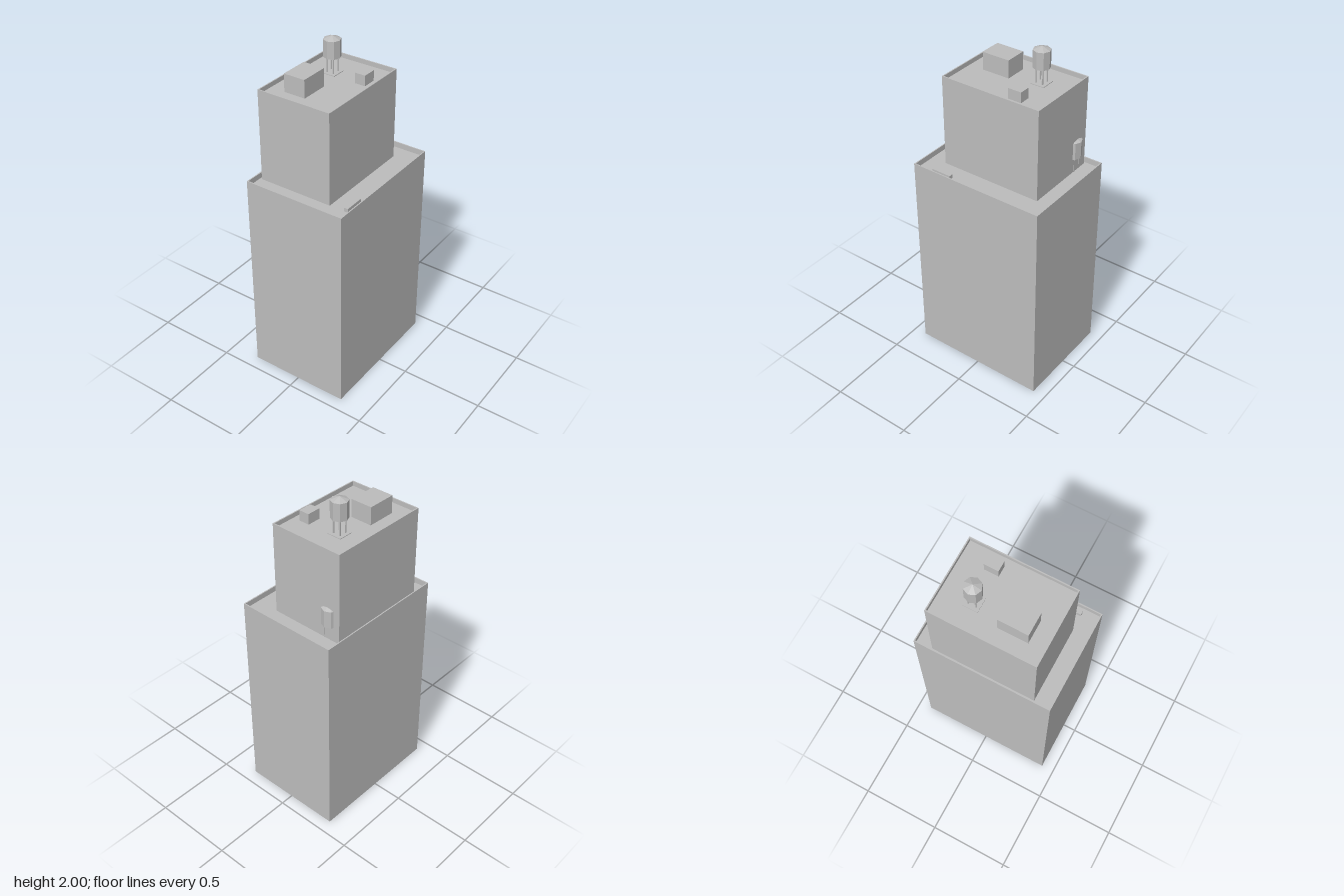
import * as THREE from 'three';

// Open-bottomed rectangular shell through rings of [halfWidth, halfDepth, y], capped by the last ring
function shellGeometry(rings) {
  const pos = [];
  const ring = ([w, d, y]) => [[-w, y, d], [w, y, d], [w, y, -d], [-w, y, -d]];
  const quad = (a, b, c, d) => pos.push(...a, ...b, ...c, ...a, ...c, ...d);
  for (let r = 0; r < rings.length - 1; r++) {
    const lo = ring(rings[r]), hi = ring(rings[r + 1]);
    for (let i = 0; i < 4; i++) {
      const j = (i + 1) % 4;
      quad(lo[i], lo[j], hi[j], hi[i]);
    }
  }
  quad(...ring(rings[rings.length - 1]));
  const geo = new THREE.BufferGeometry();
  geo.setAttribute('position', new THREE.Float32BufferAttribute(pos, 3));
  geo.computeVertexNormals();
  return geo;
}

export function createModel() {
  const group = new THREE.Group();
  const concrete = new THREE.MeshStandardMaterial({ color: 0xbcbcbc, side: THREE.DoubleSide, flatShading: true });
  concrete.name = 'concrete grey';

  const add = (name, geo, x, y, z, parent = group) => {
    const mesh = new THREE.Mesh(geo, concrete);
    mesh.name = name;
    mesh.position.set(x, y, z);
    parent.add(mesh);
    return mesh;
  };

  const lowerDeck = 1.257, upperDeck = 1.783, rim = 0.007;

  // Tiers: outer wall, parapet rim, and sunken roof deck
  const tier = (name, w, d, bottom, top, deck, z) => add(name, shellGeometry([
    [w, d, bottom], [w, d, top], [w - rim, d - rim, top], [w - rim, d - rim, deck],
  ]), 0, 0, z);
  tier('lowerTier', 0.42, 0.315, 0, 1.29, lowerDeck, 0);
  tier('upperTier', 0.315, 0.231, lowerDeck, 1.81, upperDeck, -0.064);

  // Roof boxes, given by their extents
  const block = (name, x0, x1, y0, y1, z0, z1) => add(name,
    new THREE.BoxGeometry(x1 - x0, y1 - y0, z1 - z0), (x0 + x1) / 2, (y0 + y1) / 2, (z0 + z1) / 2);
  block('stairHouse', -0.215, -0.042, upperDeck, 1.89, -0.195, -0.062);
  block('roofVent', 0.084, 0.168, upperDeck, 1.845, 0.051, 0.115);
  block('terraceVent', -0.315, -0.19, lowerDeck, 1.28, 0.26, 0.284);

  // Water tanks: pad, four legs, octagonal drum with a conical lid
  const waterTank = (x, y, z) => {
    const tank = new THREE.Group();
    tank.name = 'waterTank';
    tank.position.set(x, y, z);
    group.add(tank);
    add('pad', new THREE.BoxGeometry(0.087, 0.004, 0.087), 0, 0.002, 0, tank);
    for (const sx of [-1, 1]) for (const sz of [-1, 1])
      add('leg', new THREE.BoxGeometry(0.006, 0.096, 0.006), sx * 0.022, 0.048, sz * 0.022, tank);
    add('drum', new THREE.CylinderGeometry(0.05, 0.05, 0.103, 8), 0, 0.1455, 0, tank);
    add('lid', new THREE.ConeGeometry(0.05, 0.02, 8, 1, true), 0, 0.207, 0, tank);
  };
  waterTank(0.126, upperDeck, -0.128);
  waterTank(0.292, lowerDeck - 0.007, -0.213);

  return group;
}
